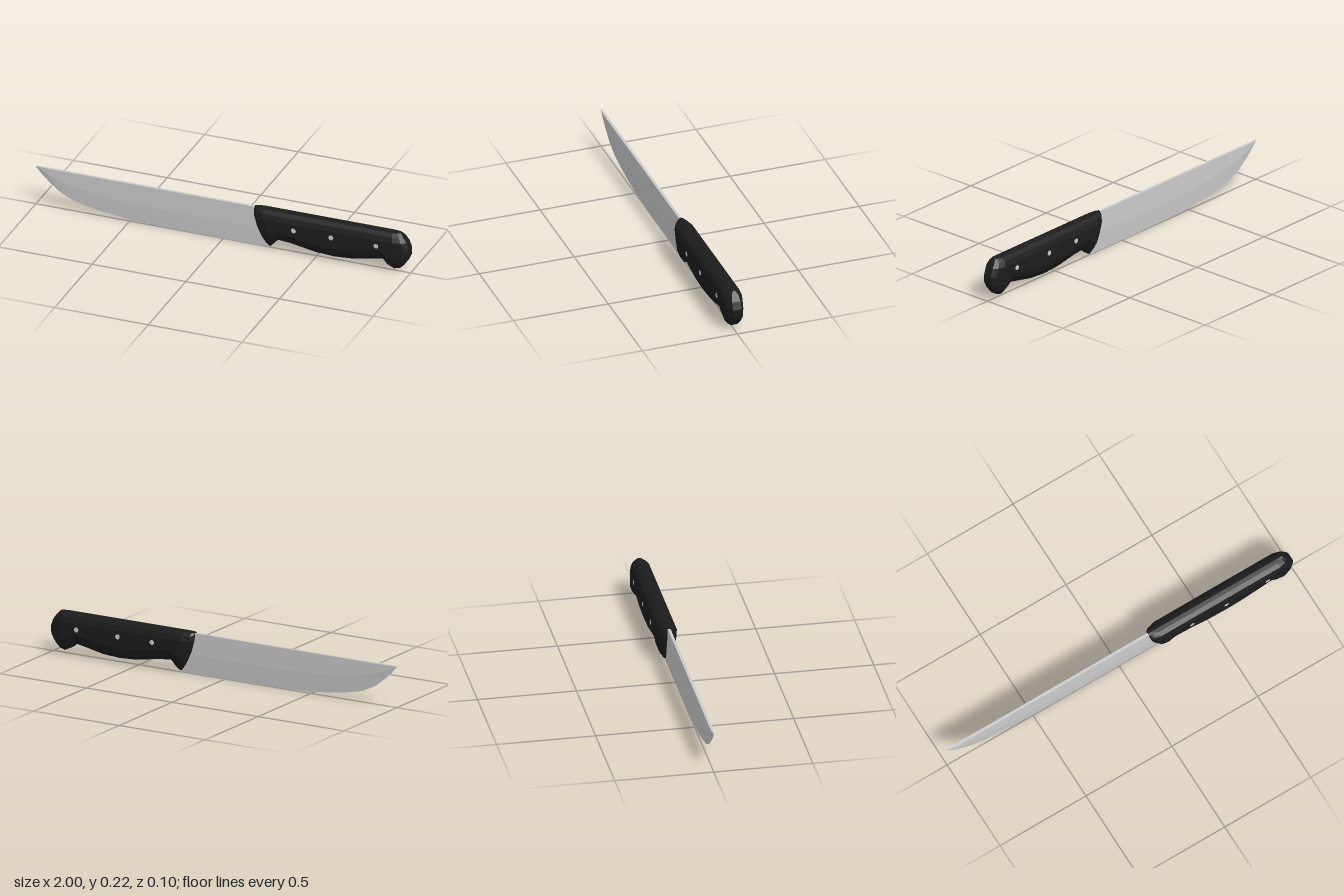
import * as THREE from 'three';

// Skin over rings of points that advance along +x; each ring runs down the +z side and up the -z side
function loft(rings) {
  const n = rings[0].length, pos = [];
  const tri = (a, b, c) => pos.push(...a, ...b, ...c);
  for (let s = 0; s < rings.length - 1; s++) {
    const p = rings[s], q = rings[s + 1];
    for (let i = 0; i < n; i++) {
      const j = (i + 1) % n;
      tri(p[i], p[j], q[j]);
      tri(p[i], q[j], q[i]);
    }
  }
  // end caps as strips between the two mirrored sides
  const a = rings[0], b = rings[rings.length - 1];
  for (let i = 0; i < n / 2 - 1; i++) {
    const k = n - 1 - i;
    tri(b[i], b[i + 1], b[k - 1]);
    tri(b[i], b[k - 1], b[k]);
    tri(a[i], a[k - 1], a[i + 1]);
    tri(a[i], a[k], a[k - 1]);
  }
  const g = new THREE.BufferGeometry();
  g.setAttribute('position', new THREE.Float32BufferAttribute(pos, 3));
  g.computeVertexNormals();
  return g;
}

// Completes a half section with its mirror image in z
const mirrored = (half) => [...half, ...half.map(([x, y, z]) => [x, y, -z]).reverse()];

function bladeGeometry() {
  // x, bevel line height, cutting edge height, half thickness
  const stations = [
    [-1, 0.211, 0.208, 0.001], [-0.97, 0.198, 0.175, 0.005], [-0.93, 0.178, 0.137, 0.007],
    [-0.87, 0.156, 0.09, 0.007], [-0.8, 0.138, 0.057, 0.007], [-0.74, 0.128, 0.042, 0.007],
    [-0.65, 0.117, 0.026, 0.007], [-0.5, 0.106, 0.008, 0.007], [-0.3, 0.1, 0.002, 0.007],
    [0, 0.1, 0, 0.007], [0.25, 0.1, 0, 0.007],
  ];
  return loft(stations.map(([x, mid, edge, t]) =>
    mirrored([[x, 0.212, t], [x, mid, t], [x, edge, 0.0006]])));
}

function handleGeometry() {
  // top x, bottom x, bottom y, half width, bow of the section along x
  const stations = [
    [0.17, 0.25, 0.01, 0.022, -0.02], [0.183, 0.262, 0.018, 0.04, -0.015],
    [0.22, 0.28, 0.038, 0.051, -0.005], [0.3, 0.3, 0.06, 0.051, 0],
    [0.37, 0.37, 0.054, 0.051, 0], [0.5, 0.5, 0.031, 0.051, 0],
    [0.6, 0.6, 0.025, 0.051, 0], [0.7, 0.7, 0.032, 0.051, 0],
    [0.8, 0.8, 0.052, 0.051, 0], [0.85, 0.86, 0.063, 0.051, 0],
    [0.88, 0.885, 0.036, 0.051, 0.005], [0.91, 0.92, 0.02, 0.051, 0.015],
    [0.935, 0.95, 0.027, 0.04, 0.033], [0.948, 0.968, 0.042, 0.022, 0.042],
  ];
  const top = 0.219;
  return loft(stations.map(([xt, xb, bottom, w, bow]) => {
    const low = bottom + 0.055, high = top - 0.045;
    // height and width fraction, from the rounded top to the rounded bottom
    const levels = [
      [top, 0.02], [top - 0.004, 0.4], [top - 0.019, 0.8], [high, 1],
      [(low + high) / 2, 1], [low, 1], [bottom + 0.027, 0.8], [bottom, 0.4],
    ];
    return mirrored(levels.map(([y, f]) => {
      const t = (y - bottom) / (top - bottom);
      return [xb + (xt - xb) * t + bow * 4 * t * (1 - t), y, w * f];
    }));
  }));
}

export function createModel() {
  const group = new THREE.Group();
  const steel = new THREE.MeshStandardMaterial({ color: 0xcccccc, flatShading: true });
  const black = new THREE.MeshStandardMaterial({ color: 0x1c1c1c, flatShading: true });

  const add = (name, geometry, material) => {
    const mesh = new THREE.Mesh(geometry, material);
    mesh.name = name;
    group.add(mesh);
    return mesh;
  };

  add('blade', bladeGeometry(), steel);
  add('handle', handleGeometry(), black);

  // Rivets pass right through the handle
  const pin = new THREE.CylinderGeometry(0.013, 0.013, 0.104, 12).rotateX(Math.PI / 2);
  [0.395, 0.595, 0.835].forEach((x, i) => {
    add('rivet' + (i + 1), pin, steel).position.set(x, 0.142, 0);
  });
  return group;
}
